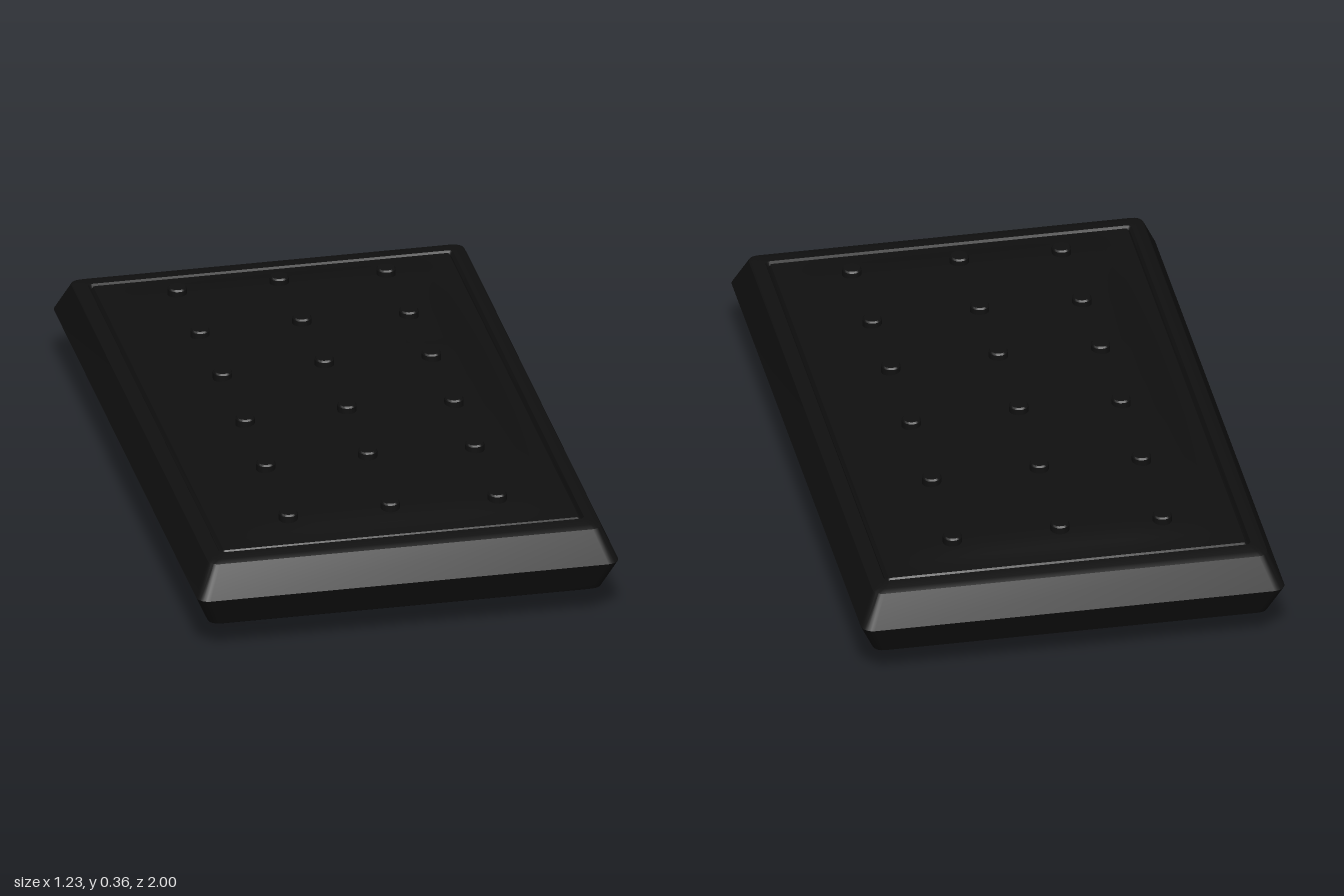
import * as THREE from 'three';
import { toCreasedNormals } from 'three/addons/utils/BufferGeometryUtils.js';

const MID = 0.185; // height of the middle plane

// Value on a polyline of [distance, height] points
function along(points, d) {
  for (let i = 1; i < points.length; i++) {
    const [d0, h0] = points[i - 1], [d1, h1] = points[i];
    if (d <= d1) return h0 + (h1 - h0) * (d - d0) / (d1 - d0);
  }
  return 0;
}

// Padding rises to the middle in both directions
const acrossWidth = [[0, 1], [0.22, 0.95], [0.31, 0.78], [0.4, 0.56], [0.49, 0.02], [0.52, 0]];
const acrossLength = [[0, 1], [0.2, 0.97], [0.45, 0.74], [0.78, 0.4], [0.86, 0.05], [0.885, 0]];
const padHeight = (x, z) =>
  0.103 + 0.057 * along(acrossWidth, Math.abs(x)) * along(acrossLength, Math.abs(z));

// Bevelled rim: rounded rectangles [half width, half length, height, corner radius]
function rimGeometry() {
  const upper = [
    [0.575, 0.955, 0.094, 0.03], [0.56, 0.94, 0.102, 0.025], [0.534, 0.9, 0.104, 0.015],
    [0.528, 0.894, 0.092, 0.012], [0.52, 0.886, 0.103, 0.008], [0.5, 0.866, 0.095, 0.005],
  ];
  const lower = upper.map(([w, l, y, r]) => [w, l, -y, r]).reverse();
  const rings = [...lower, [0.617, 1, 0, 0.035], ...upper];
  const steps = 5, count = 4 * (steps + 1), position = [], index = [];
  for (const [w, l, y, r] of rings) {
    for (let corner = 0; corner < 4; corner++) {
      const sx = corner === 0 || corner === 3 ? 1 : -1, sz = corner < 2 ? 1 : -1;
      for (let s = 0; s <= steps; s++) {
        const a = (corner + s / steps) * Math.PI / 2;
        position.push(sx * (w - r) + r * Math.cos(a), y, sz * (l - r) + r * Math.sin(a));
      }
    }
  }
  for (let i = 0; i < rings.length - 1; i++) {
    for (let j = 0; j < count; j++) {
      const a = i * count + j, b = i * count + (j + 1) % count;
      index.push(a, a + count, b, b, a + count, b + count);
    }
  }
  const geometry = new THREE.BufferGeometry();
  geometry.setAttribute('position', new THREE.Float32BufferAttribute(position, 3));
  geometry.setIndex(index);
  return toCreasedNormals(geometry, 0.45);
}

// Padded panel: a grid lifted by the padding rule
function panelGeometry() {
  const geometry = new THREE.PlaneGeometry(1.04, 1.77, 36, 60).rotateX(-Math.PI / 2);
  const p = geometry.attributes.position;
  for (let i = 0; i < p.count; i++) p.setY(i, padHeight(p.getX(i), p.getZ(i)));
  geometry.computeVertexNormals();
  return geometry;
}

// Tufting button with a softened edge
function buttonGeometry() {
  const profile = [[0.028, -0.025], [0.028, 0.017], [0.024, 0.022], [0, 0.023]];
  const lathe = new THREE.LatheGeometry(profile.map(([x, y]) => new THREE.Vector2(x, y)), 20);
  return toCreasedNormals(lathe, 0.6);
}

export function createModel() {
  const group = new THREE.Group();
  group.name = 'cushion';
  const material = new THREE.MeshStandardMaterial({ color: 0x101010 });

  const rim = new THREE.Mesh(rimGeometry(), material);
  rim.name = 'rim';
  rim.position.y = MID;
  group.add(rim);

  const panel = panelGeometry(), button = buttonGeometry();
  for (const side of [1, -1]) {
    const label = side > 0 ? 'top' : 'bottom';
    const turn = side > 0 ? 0 : Math.PI;

    const pad = new THREE.Mesh(panel, material);
    pad.name = label + 'Panel';
    pad.position.y = MID;
    pad.rotation.x = turn;
    group.add(pad);

    // Three columns of six buttons on each face
    const buttons = new THREE.Group();
    buttons.name = label + 'Buttons';
    for (const x of [-0.303, -0.005, 0.308]) {
      for (const z of [-0.75, -0.44, -0.135, 0.172, 0.452, 0.757]) {
        const stud = new THREE.Mesh(button, material);
        stud.name = 'button';
        stud.position.set(x, MID + side * padHeight(x, z), z);
        stud.rotation.x = turn;
        buttons.add(stud);
      }
    }
    group.add(buttons);
  }
  return group;
}
